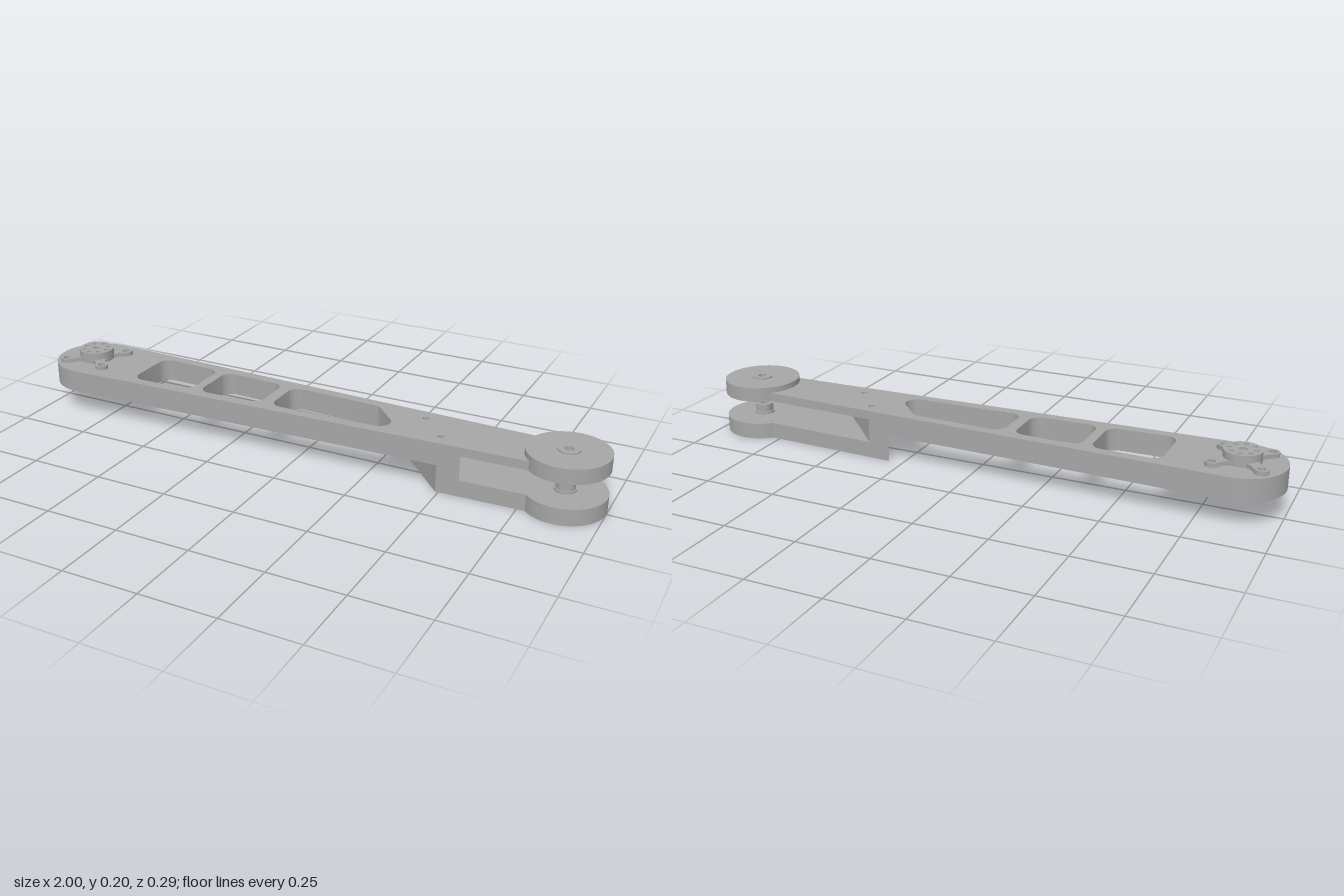
import * as THREE from 'three';
import { toCreasedNormals } from 'three/addons/utils/BufferGeometryUtils.js';

const HORN_X = -0.857, HORN_R = 0.143, JOINT_X = 0.87, JOINT_R = 0.13;

// Half width of the tapering arm at x
const half = (x) => HORN_R - 0.0325 * (x - HORN_X);

function circle(x, z, r, Type = THREE.Path) {
  const p = new Type();
  p.absarc(x, z, r, 0, Math.PI * 2, false);
  return p;
}

// Polygon with every corner rounded to radius r
function roundedPolygon(corners, r) {
  const path = new THREE.Path();
  const pts = corners.map(([x, z]) => new THREE.Vector2(x, z));
  const n = pts.length;
  const out = [];
  pts.forEach((p, i) => {
    const a = pts[(i + n - 1) % n].clone().sub(p).normalize();
    const b = pts[(i + 1) % n].clone().sub(p).normalize();
    const h = Math.acos(a.dot(b)) / 2;
    const c = a.clone().add(b).normalize().multiplyScalar(r / Math.sin(h)).add(p);
    const start = a.multiplyScalar(r / Math.tan(h)).add(p).sub(c);
    const end = b.multiplyScalar(r / Math.tan(h)).add(p).sub(c);
    const a0 = Math.atan2(start.y, start.x);
    let da = Math.atan2(end.y, end.x) - a0;
    if (da > Math.PI) da -= Math.PI * 2;
    if (da < -Math.PI) da += Math.PI * 2;
    for (let k = 0; k <= 10; k++) {
      const t = a0 + (da * k) / 10;
      out.push(new THREE.Vector2(c.x + r * Math.cos(t), c.y + r * Math.sin(t)));
    }
  });
  path.setFromPoints(out);
  return path;
}

// Plan outline (x, z) extruded between two heights
function plate(shape, y0, y1) {
  const g = new THREE.ExtrudeGeometry(shape, { depth: y1 - y0, bevelEnabled: false, curveSegments: 40 });
  g.rotateX(Math.PI / 2);
  g.translate(0, y1, 0);
  return toCreasedNormals(g, 0.5);
}

function polygon(corners) {
  return new THREE.Shape(corners.map(([x, z]) => new THREE.Vector2(x, z)));
}

// Closed ring profile turned about the vertical axis
function turned(profile) {
  const pts = [...profile, profile[0]].map(([r, y]) => new THREE.Vector2(r, y));
  return toCreasedNormals(new THREE.LatheGeometry(pts, 40), 0.5);
}

export function createModel() {
  const model = new THREE.Group();
  model.name = 'linkArm';
  const grey = new THREE.MeshStandardMaterial({ color: 0xa6a6a6 });
  grey.name = 'grey';

  const add = (name, geometry, parent = model) => {
    const mesh = new THREE.Mesh(geometry, grey);
    mesh.name = name;
    parent.add(mesh);
    return mesh;
  };

  // Slanted lines: outer end of the step block, and the wall of the fork slot
  const endBack = [0.30, -half(0.30)], endFront = [0.49, half(0.49)];
  const slotBack = [0.375, -half(0.375)], slotFront = [0.565, half(0.565)];
  const screwHoles = () => [circle(0.39, -0.055, 0.011), circle(0.482, 0.05, 0.011)];

  // Main arm with three windows and mounting holes
  const arm = new THREE.Shape();
  arm.moveTo(...slotBack);
  arm.lineTo(...slotFront);
  arm.lineTo(HORN_X, HORN_R);
  arm.absarc(HORN_X, 0, HORN_R, Math.PI / 2, Math.PI * 1.5, false);
  arm.closePath();
  const edge = (x) => half(x) - 0.036;
  for (const [x0, x1, x2] of [[-0.636, -0.406, -0.406], [-0.374, -0.144, -0.144], [-0.105, 0.218, 0.352]]) {
    arm.holes.push(roundedPolygon(
      [[x0, -edge(x0)], [x1, -edge(x1)], [x2, edge(x2)], [x0, edge(x0)]], 0.038));
  }
  for (const sx of [-1, 1]) for (const sz of [-1, 1]) {
    arm.holes.push(circle(HORN_X + sx * 0.075, sz * 0.075, 0.016));
  }
  arm.holes.push(circle(HORN_X, 0, 0.018), ...screwHoles());
  add('arm', plate(arm, 0.092, 0.167));

  // Step block under the arm
  const block = polygon([endBack, slotBack, slotFront, endFront]);
  block.holes.push(...screwHoles());
  add('stepBlock', plate(block, 0, 0.092));

  // Fork plates running to the joint discs
  const tongue = polygon([slotBack, [0.80, -half(0.80)], [0.80, half(0.80)], slotFront]);
  add('upperForkPlate', plate(tongue, 0.137, 0.167));
  add('lowerForkPlate', plate(tongue, 0, 0.055));

  // Joint discs
  const disc = circle(JOINT_X, 0, JOINT_R, THREE.Shape);
  disc.holes.push(circle(JOINT_X, 0, 0.027));
  add('upperJointDisc', plate(disc, 0.137, 0.187));
  add('lowerJointDisc', plate(disc, 0, 0.055));

  // Flanged bushings facing each other in the fork
  const upper = add('upperBushing', turned([
    [0.015, 0.105], [0.030, 0.105], [0.030, 0.130], [0.035, 0.130], [0.035, 0.137],
    [0.027, 0.137], [0.027, 0.187], [0.035, 0.187], [0.035, 0.192], [0.015, 0.192]]));
  const lower = add('lowerBushing', turned([
    [0.015, 0.005], [0.027, 0.005], [0.027, 0.055], [0.035, 0.055], [0.035, 0.062],
    [0.030, 0.062], [0.030, 0.090], [0.015, 0.090]]));
  upper.position.x = lower.position.x = JOINT_X;

  // Four-armed horn on the round end
  const horn = new THREE.Group();
  horn.name = 'horn';
  horn.position.x = HORN_X - 0.003;
  model.add(horn);
  const spoke = new THREE.Shape();
  spoke.moveTo(0.03, -0.028);
  spoke.lineTo(0.075, -0.017);
  spoke.lineTo(0.106, -0.022);
  spoke.absarc(0.106, 0, 0.022, -Math.PI / 2, Math.PI / 2, false);
  spoke.lineTo(0.075, 0.017);
  spoke.lineTo(0.03, 0.028);
  spoke.closePath();
  spoke.holes.push(circle(0.106, 0, 0.013));
  const spokeGeometry = plate(spoke, 0.167, 0.181);
  for (let i = 0; i < 4; i++) {
    add('hornSpoke', spokeGeometry, horn).rotation.y = Math.PI / 4 + (i * Math.PI) / 2;
  }

  // Hub with a ring of small holes
  const hub = circle(0, 0, 0.06, THREE.Shape);
  hub.holes.push(circle(0, 0, 0.012));
  for (let i = 0; i < 8; i++) {
    const a = (i * Math.PI) / 4;
    hub.holes.push(circle(0.042 * Math.cos(a), 0.042 * Math.sin(a), 0.008));
  }
  add('hornHub', plate(hub, 0.187, 0.205), horn);
  add('hornHubBase', plate(circle(0, 0, 0.06, THREE.Shape), 0.167, 0.187), horn);

  return model;
}
